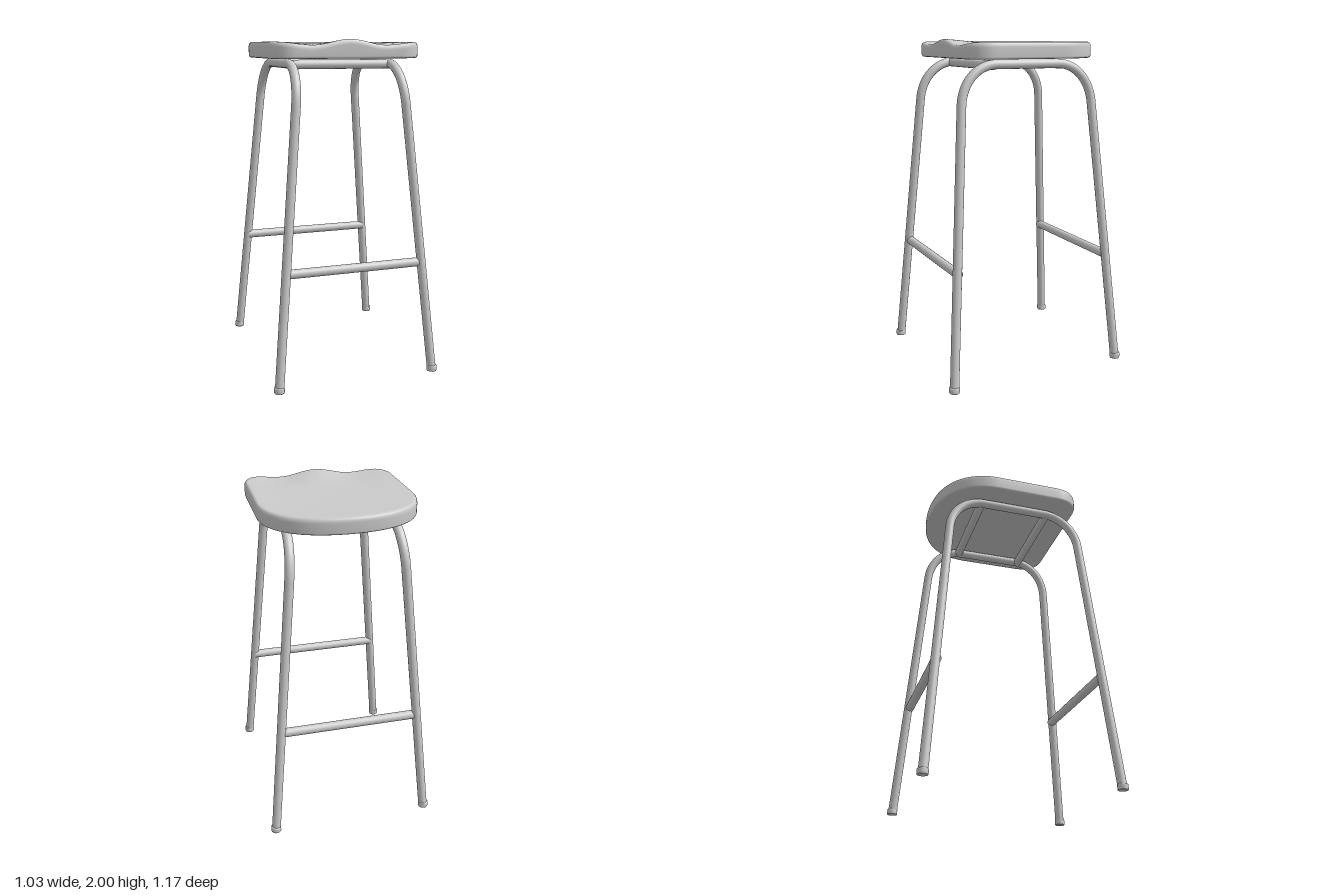
import * as THREE from 'three';

const material = new THREE.MeshStandardMaterial({ color: 0xcccccc });
const RADIUS = 0.027;
const BAR_Y = 1.859;

// Centre line of the legs: both tilt inward with height
const legX = (y) => 0.485 - 0.093 * y;
const legZ = (y) => 0.555 - 0.079 * y;

function addMesh(parent, name, geometry) {
  const mesh = new THREE.Mesh(geometry, material);
  mesh.name = name;
  parent.add(mesh);
  return mesh;
}

// Height of the sculpted seat top; s is 0 at the centre and 1 at the rim
function seatTop(x, z, s) {
  const ax = Math.abs(x);
  const wave = ax < 0.22
    ? 0.0165 * Math.cos((Math.PI * ax) / 0.22) - 0.0015
    : -0.009 - 0.009 * Math.cos((Math.PI * (Math.min(ax, 0.44) - 0.22)) / 0.22);
  return 1.985 + wave * THREE.MathUtils.smoothstep(z, 0.08, 0.38) - 0.012 * (1 - s * s);
}

function seatGeometry() {
  // Plan outline, counter-clockwise seen from above (shape y is -z)
  const outline = new THREE.Shape();
  outline.moveTo(0, -0.408);
  outline.lineTo(0.32, -0.408);
  outline.bezierCurveTo(0.4, -0.408, 0.458, -0.35, 0.458, -0.26);
  outline.lineTo(0.458, 0.14);
  outline.bezierCurveTo(0.458, 0.36, 0.3, 0.507, 0, 0.507);
  outline.bezierCurveTo(-0.3, 0.507, -0.458, 0.36, -0.458, 0.14);
  outline.lineTo(-0.458, -0.26);
  outline.bezierCurveTo(-0.458, -0.35, -0.4, -0.408, -0.32, -0.408);
  outline.lineTo(0, -0.408);
  const N = 128;
  const points = outline.getSpacedPoints(N).slice(0, N);
  const cz = -0.05;

  // Rings from bottom centre, round the rim, to the top centre:
  // [scale, fixed height] below, [scale, drop under the top surface] above
  const lower = [[0, 1.89], [0.9, 1.89], [0.975, 1.89], [0.992, 1.894], [1, 1.903]];
  const upper = [[1, 0.03], [0.997, 0.018], [0.988, 0.008], [0.974, 0.002], [0.955, 0]];
  for (let i = 1; i <= 16; i++) upper.push([0.955 * (1 - i / 16), 0]);

  const positions = [];
  const index = [];
  const ring = (s, height) => {
    for (const p of points) {
      const x = p.x * s;
      const z = cz + (-p.y - cz) * s;
      positions.push(x, height(x, z), z);
    }
  };
  lower.forEach(([s, y]) => ring(s, () => y));
  upper.forEach(([s, drop]) => ring(s, (x, z) => seatTop(x, z, s) - drop));

  const rings = lower.length + upper.length;
  for (let i = 0; i < rings - 1; i++) {
    for (let j = 0; j < N; j++) {
      const k = (j + 1) % N;
      const a = i * N + j, b = i * N + k, c = b + N, d = a + N;
      if (i > 0) index.push(a, b, c);
      else index.push(a, c, d);
      if (i > 0 && i < rings - 2) index.push(a, c, d);
    }
  }
  const geometry = new THREE.BufferGeometry();
  geometry.setAttribute('position', new THREE.Float32BufferAttribute(positions, 3));
  geometry.setIndex(index);
  geometry.computeVertexNormals();

  // The centre rings collapse to a point, so give them plain up and down normals
  const normals = geometry.attributes.normal;
  for (let j = 0; j < N; j++) {
    normals.setXYZ(j, 0, -1, 0);
    normals.setXYZ((rings - 1) * N + j, 0, 1, 0);
  }
  return geometry;
}

// Bent tube: up the front leg, along under the seat, down the back leg
function frameGeometry(side) {
  const at = (y, z) => new THREE.Vector3(side * legX(y), y, z);
  const bendY = 1.63, flatZ = 0.2;
  const corner = at(BAR_Y, legZ(BAR_Y));
  const bend = (end) => {
    const mirror = (v) => new THREE.Vector3(v.x, v.y, v.z * end);
    const low = at(bendY, legZ(bendY));
    const high = at(BAR_Y, flatZ);
    return [low, low.clone().lerp(corner, 0.58), high.clone().lerp(corner, 0.58), high].map(mirror);
  };
  const front = bend(1);
  const back = bend(-1).reverse();
  const path = new THREE.CurvePath();
  path.add(new THREE.LineCurve3(at(0.01, legZ(0.01)), front[0]));
  path.add(new THREE.CubicBezierCurve3(...front));
  path.add(new THREE.LineCurve3(front[3], back[0]));
  path.add(new THREE.CubicBezierCurve3(...back));
  path.add(new THREE.LineCurve3(back[3], at(0.01, -legZ(0.01))));
  return new THREE.TubeGeometry(path, 180, RADIUS, 20, false);
}

// Straight tube across the stool along x
function addBar(parent, name, halfLength, y, z) {
  const bar = addMesh(parent, name, new THREE.CylinderGeometry(RADIUS, RADIUS, halfLength * 2, 20));
  bar.rotation.z = Math.PI / 2;
  bar.position.set(0, y, z);
}

export function createModel() {
  const model = new THREE.Group();
  model.name = 'stool';

  addMesh(model, 'seat', seatGeometry());

  // Rounded cap under each leg
  const footProfile = [[0, 0], [0.029, 0], [0.031, 0.003], [0.031, 0.029], [0.029, 0.034], [0.02, 0.036]]
    .map(([r, y]) => new THREE.Vector2(r, y));
  const footGeometry = new THREE.LatheGeometry(footProfile, 24);

  for (const side of [1, -1]) {
    const sideName = side > 0 ? 'left' : 'right';
    addMesh(model, sideName + 'LegFrame', frameGeometry(side));
    for (const end of [1, -1]) {
      const foot = addMesh(model, sideName + (end > 0 ? 'Front' : 'Back') + 'Foot', footGeometry);
      foot.position.set(side * legX(0), 0, end * legZ(0));
    }
  }

  // Seat supports and footrests, front and back
  for (const end of [1, -1]) {
    const endName = end > 0 ? 'front' : 'back';
    addBar(model, endName + 'SeatSupport', legX(BAR_Y), BAR_Y - 0.004, end * 0.22);
    addBar(model, endName + 'Footrest', legX(0.685), 0.685, end * 0.493);
  }
  return model;
}
